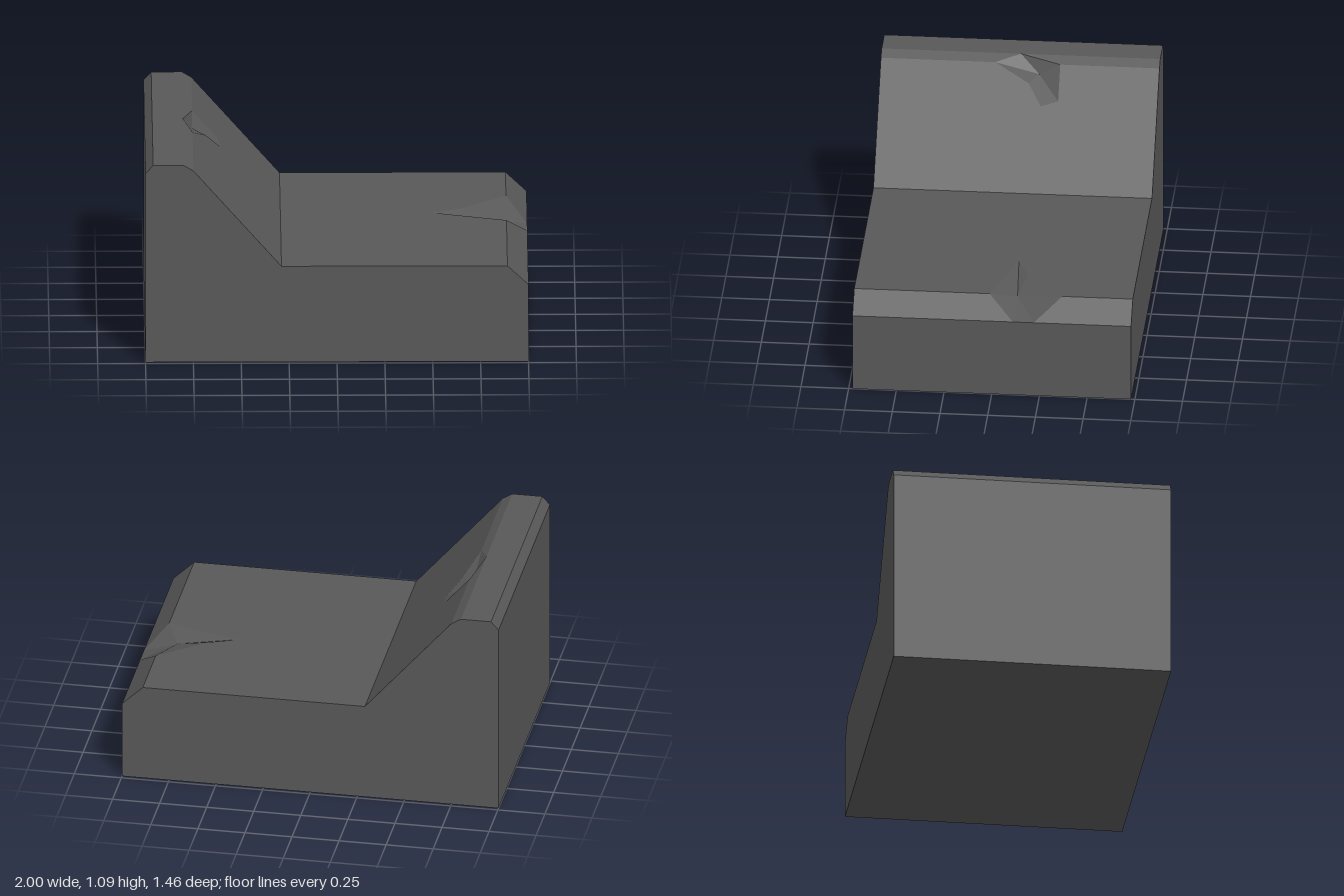
import * as THREE from 'three';

const HALF = 0.73;

// Outline seen from the front, counter-clockwise from the lower left
const profile = [
  [-1, 0], [1, 0], [1, 0.425], [0.89, 0.53], [-0.29, 0.53],
  [-0.75, 1.06], [-0.8, 1.09], [-0.96, 1.09], [-1, 1.045],
];

// Height of the sloped face at x
const slopeY = (x) => 0.53 + (-0.29 - x) * (0.53 / 0.46);

// Flat polygons, each triangulated and turned towards its outward direction
function facesGeometry(polygons) {
  const positions = [];
  for (const { points, out } of polygons) {
    const size = out.map(Math.abs);
    const drop = size.indexOf(Math.max(...size));
    const flat = points.map((p) => new THREE.Vector2(...p.filter((_, i) => i !== drop)));
    const outward = new THREE.Vector3(...out);
    for (const tri of THREE.ShapeUtils.triangulateShape(flat, [])) {
      const [a, b, c] = tri.map((i) => new THREE.Vector3(...points[i]));
      const normal = b.clone().sub(a).cross(c.clone().sub(a));
      const order = normal.dot(outward) > 0 ? [a, b, c] : [a, c, b];
      for (const v of order) positions.push(v.x, v.y, v.z);
    }
  }
  const geometry = new THREE.BufferGeometry();
  geometry.setAttribute('position', new THREE.Float32BufferAttribute(positions, 3));
  geometry.computeVertexNormals();
  return geometry;
}

// Facets from the deepest point of a chip to its rim
function chipGeometry(centre, rim) {
  return facesGeometry(rim.map((p, i) => ({
    points: [centre, p, rim[(i + 1) % rim.length]],
    out: [0.9, 1, 0],
  })));
}

export function createModel() {
  const group = new THREE.Group();
  const stone = new THREE.MeshStandardMaterial({ color: 0x585858 });
  stone.name = 'dark grey stone';

  const add = (name, geometry) => {
    const mesh = new THREE.Mesh(geometry, stone);
    mesh.name = name;
    group.add(mesh);
  };

  // Rim of the chip in the low edge: deck corners first, then the bevel foot
  const lowA = [0.89, 0.53, 0.02];
  const lowB = [0.89, 0.53, -0.36];
  const lowTip = [0.5, 0.53, -0.1];
  const lowBack = [0.65, 0.53, -0.16];
  const lowD = [1, 0.425, -0.11];
  const lowE = [1, 0.425, -0.22];

  // Rim of the chip in the high edge
  const highTop = [-0.8, 1.09, 0];
  const highBack = [-0.75, 1.06, -0.21];
  const highFront = [-0.75, 1.06, 0.13];
  const highX = [-0.62, slopeY(-0.62), -0.21];
  const highTip = [-0.6, slopeY(-0.6), -0.12];
  const highQ = [-0.68, slopeY(-0.68), -0.05];

  // Front and back walls
  const walls = [1, -1].map((s) => ({
    points: profile.map(([x, y]) => [x, y, s * HALF]),
    out: [0, 0, s],
  }));

  // Long faces between the walls; chipped ones follow the chip rims.
  // Points in a detour run from front to back.
  const strip = (i, rimStart = [], rimEnd = []) => {
    const [x0, y0] = profile[i];
    const [x1, y1] = profile[(i + 1) % profile.length];
    return {
      points: [
        [x0, y0, HALF], ...rimStart, [x0, y0, -HALF],
        [x1, y1, -HALF], ...[...rimEnd].reverse(), [x1, y1, HALF],
      ],
      out: [y1 - y0, x0 - x1, 0],
    };
  };
  const [x2, y2] = profile[2];
  const [x3, y3] = profile[3];
  const bevelOut = [y3 - y2, x2 - x3, 0];

  add('endWalls', facesGeometry(walls));
  add('base', facesGeometry([strip(0)]));
  add('lowEnd', facesGeometry([strip(1)]));
  add('lowBevel', facesGeometry([
    { points: [[x2, y2, HALF], lowD, lowA, [x3, y3, HALF]], out: bevelOut },
    { points: [lowE, [x2, y2, -HALF], [x3, y3, -HALF], lowB], out: bevelOut },
  ]));
  add('deck', facesGeometry([strip(3, [lowA, lowTip, lowBack, lowB])]));
  add('slope', facesGeometry([strip(4, [], [highFront, highQ, highTip, highX, highBack])]));
  add('crestBevel', facesGeometry([strip(5, [highFront, highTop, highBack])]));
  add('crest', facesGeometry([strip(6)]));
  add('rearBevel', facesGeometry([strip(7)]));
  add('highEnd', facesGeometry([strip(8)]));

  // Chipped corners
  add('lowEdgeChip', chipGeometry([0.82, 0.485, -0.12],
    [lowA, lowD, lowE, lowB, lowBack, lowTip]));
  add('highEdgeChip', chipGeometry([-0.75, 1.0, -0.1],
    [highTop, highFront, highQ, highTip, highX, highBack]));

  return group;
}
